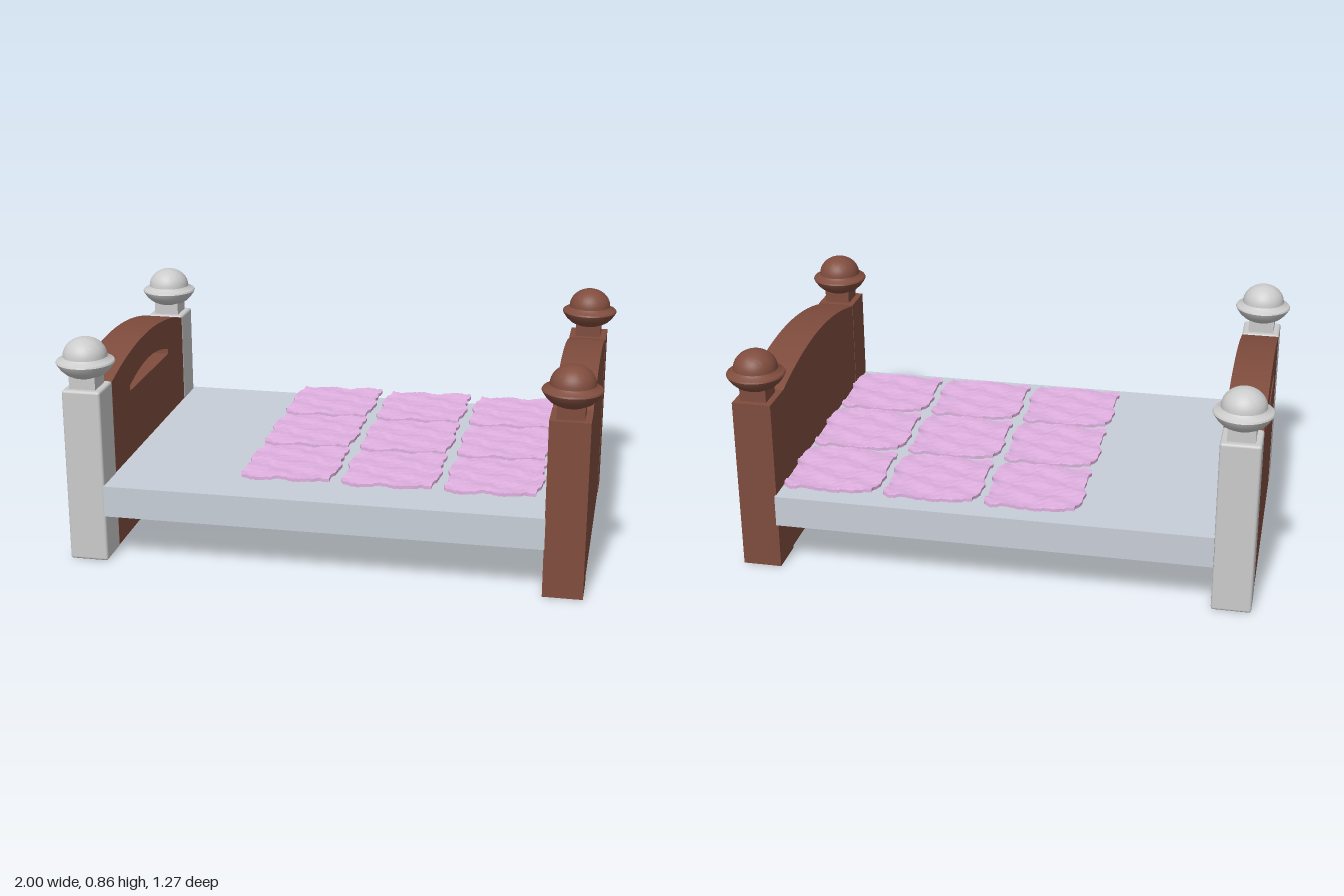
import * as THREE from 'three';
import { RoundedBoxGeometry } from 'three/addons/geometries/RoundedBoxGeometry.js';
import { toCreasedNormals } from 'three/addons/utils/BufferGeometryUtils.js';

const mat = (color) => new THREE.MeshStandardMaterial({ color });
const grey = mat(0xcccccc);
const brown = mat(0x804d3e);
const frameMat = mat(0xc8ced8);
const pink = mat(0xe0b0e0);

function add(parent, name, geometry, material, x = 0, y = 0, z = 0) {
  const mesh = new THREE.Mesh(geometry, material);
  mesh.name = name;
  mesh.position.set(x, y, z);
  parent.add(mesh);
  return mesh;
}

// Post topped by a square neck and a flared, domed finial
function makePost(material, rounded) {
  const post = new THREE.Group();
  const body = rounded
    ? new RoundedBoxGeometry(0.147, 0.67, 0.147, 2, 0.01)
    : new THREE.BoxGeometry(0.147, 0.67, 0.147);
  add(post, 'postBody', body, material, 0, 0.335, 0);
  add(post, 'postNeck', new THREE.BoxGeometry(0.1, 0.06, 0.1), material, 0, 0.695, 0);

  const profile = [
    [0, 0.712], [0.056, 0.712], [0.075, 0.722], [0.092, 0.738], [0.105, 0.757],
    [0.109, 0.765], [0.106, 0.771], [0.09, 0.778], [0.084, 0.784],
  ].map(([r, y]) => new THREE.Vector2(r, y));
  for (let i = 0; i <= 10; i++) {
    const a = (i / 10) * Math.PI / 2;
    profile.push(new THREE.Vector2(i === 10 ? 0 : 0.082 * Math.cos(a), 0.786 + 0.071 * Math.sin(a)));
  }
  const finial = toCreasedNormals(new THREE.LatheGeometry(profile, 40), 0.6);
  add(post, 'finial', finial, material);
  return post;
}

// Arched end board, extruded across its thickness; the slot is optional
function makeBoard(withSlot) {
  const w = 0.455, thick = 0.144;
  const shape = new THREE.Shape();
  shape.moveTo(-w, 0.007);
  shape.lineTo(w, 0.007);
  shape.lineTo(w, 0.665);
  shape.quadraticCurveTo(0, 0.803, -w, 0.665);
  shape.closePath();
  if (withSlot) {
    const slot = new THREE.Path();
    slot.moveTo(-0.25, 0.565);
    slot.lineTo(-0.25, 0.585);
    slot.quadraticCurveTo(0, 0.67, 0.25, 0.585);
    slot.lineTo(0.25, 0.565);
    slot.closePath();
    shape.holes.push(slot);
  }
  const g = new THREE.ExtrudeGeometry(shape, { depth: thick, bevelEnabled: false, curveSegments: 28 });
  g.translate(0, 0, -thick / 2);
  g.rotateY(Math.PI / 2);
  return toCreasedNormals(g, 0.5);
}

// Crumpled cloth square: a thin slab with wavy edges and rough faces
function makePatch() {
  const size = 0.35;
  const g = new THREE.BoxGeometry(size, 0.012, size, 36, 1, 36);
  const p = g.attributes.position;
  const hash = (a, b) => {
    const s = Math.sin(a * 127.1 + b * 311.7) * 43758.5453;
    return s - Math.floor(s) - 0.5;
  };
  for (let i = 0; i < p.count; i++) {
    const x = p.getX(i), y = p.getY(i), z = p.getZ(i);
    const u = x / size * 2, v = z / size * 2;
    const iu = Math.round(u * 18), iv = Math.round(v * 18);
    const rough = hash(iu, iv) * 0.005;
    const waves = 0.003 * Math.sin(u * 7 + v * 3) + 0.002 * Math.sin(v * 9 - u * 4);
    const lift = 0.007 * Math.max(0, u - 0.85) / 0.15;
    // Ripple and skew the outline, and soften the corners
    const corner = 1 - 0.05 * u * u * v * v;
    const nx = (x + u * u * (0.006 * Math.sin(v * 5) + 0.003 * Math.sin(v * 13))) * corner;
    const nz = (z + v * v * (0.005 * Math.sin(u * 6) + 0.003 * Math.sin(u * 14))) * corner;
    p.setXYZ(i, nx + hash(iv, 3 + iu) * 0.003, y + rough + waves + lift, nz - 0.008 * u * v * (v < 0 ? -1 : 0.4));
  }
  g.computeVertexNormals();
  return g;
}

export function createModel() {
  const bed = new THREE.Group();
  bed.name = 'bed';

  // Flat bed base between the two ends
  add(bed, 'bedBase', new THREE.BoxGeometry(1.64, 0.12, 1.22), frameMat, 0, 0.245, -0.005);

  // Footboard (-x, slotted, grey posts) and headboard (+x, all brown)
  for (const side of [-1, 1]) {
    const end = new THREE.Group();
    end.name = side < 0 ? 'footboard' : 'headboard';
    end.position.x = side * 0.891;
    add(end, 'archedBoard', makeBoard(side < 0), brown);
    for (const s of [-1, 1]) {
      const post = makePost(side < 0 ? grey : brown, side < 0);
      post.name = s > 0 ? 'frontPost' : 'backPost';
      post.position.z = s * 0.526;
      end.add(post);
    }
    bed.add(end);
  }

  // Three by three cloth patches
  const patch = makePatch();
  const quilt = new THREE.Group();
  quilt.name = 'quilt';
  for (let i = 0; i < 3; i++) {
    for (let j = 0; j < 3; j++) {
      add(quilt, 'quiltPatch', patch, pink, -0.147 + i * 0.381, 0.343, -0.417 + j * 0.369);
    }
  }
  bed.add(quilt);
  return bed;
}
